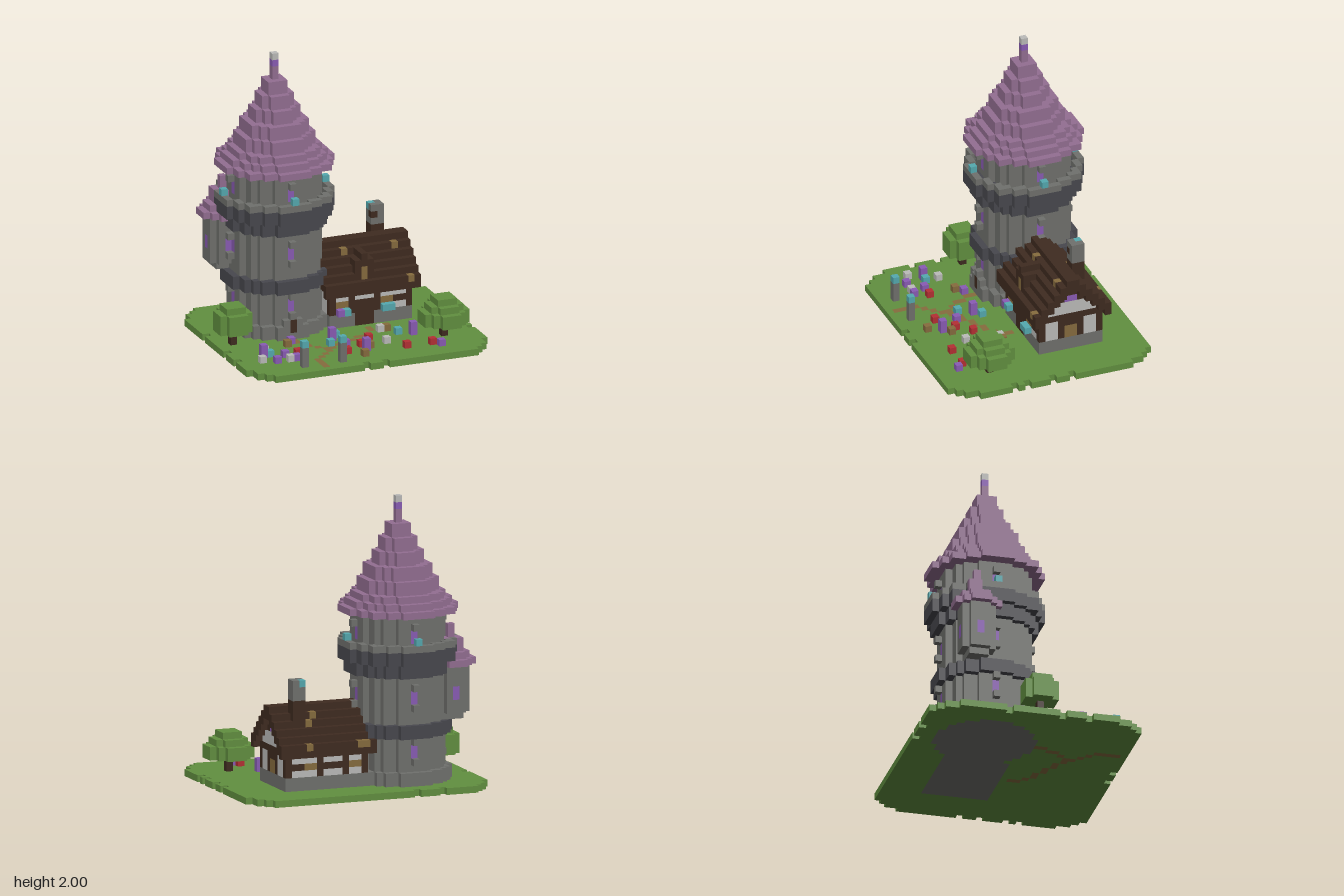
import * as THREE from 'three';

const V = 2 / 43; // edge of one cube

const COLORS = {
  grass: 0x629040, stone: 0x70716d, darkStone: 0x48484e, tile: 0x946f92, wood: 0x3f2b20,
  moss: 0x866c3e, purple: 0x8a5cb5, cyan: 0x55aab0, plaster: 0xbcbcba, red: 0xb53034,
};

export function createModel() {
  const cells = new Map();
  let part = '';
  const put = (color, i, j, k) => cells.set(`${i},${j},${k}`, { p: [i, j, k], id: `${part}|${color}` });
  const box = (color, i0, i1, j0, j1, k0, k1) => {
    for (let i = i0; i <= i1; i++) for (let j = j0; j <= j1; j++) for (let k = k0; k <= k1; k++) put(color, i, j, k);
  };
  // round slab of cubes, optionally hollow
  const disc = (color, ci, ck, r, j0, j1 = j0, inner = -1) => {
    for (let a = -r; a <= r; a++) for (let b = -r; b <= r; b++) {
      const d = a * a + b * b;
      if (d <= (r + 0.5) ** 2 && (inner < 0 || d > (inner + 0.5) ** 2)) box(color, ci + a, ci + a, j0, j1, ck + b, ck + b);
    }
  };

  // Ground with clipped corners and chipped edges
  part = 'ground';
  for (let k = -16; k <= 15; k++) {
    const e = Math.min(k + 16, 15 - k);
    const cut = [3, 2, 1, 1][e] ?? 0;
    box('grass', -19 + cut, 18 - cut, 0, 0, k, k);
  }
  const chips = [[-11, -16], [-7, -16], [-2, 15], [1, 15], [18, -3], [18, 0], [18, 4], [18, 6], [-19, -5], [-19, 3], [-19, 7]];
  chips.forEach(([i, k]) => cells.delete(`${i},0,${k}`));
  part = 'foundation';
  disc('stone', -8, -6, 7, 0);
  box('stone', -1, 11, 0, 0, -10, -1);
  part = 'path';
  [[-8, 11], [-8, 12], [-8, 13], [-8, 14], [-7, 10], [-6, 9], [-5, 8], [-4, 7], [-3, 6], [-2, 6], [-1, 5], [0, 5],
    [1, 4], [2, 4], [3, 3], [4, 2], [4, 1], [-8, 2], [-8, 3], [-7, 4], [-7, 5], [-6, 6], [-5, 7]]
    .forEach(([i, k]) => put('moss', i, 0, k));

  // House walls: stone base, plaster, timber posts
  part = 'houseWalls';
  box('stone', -1, 11, 1, 2, -10, -1);
  box('plaster', -1, 11, 3, 5, -10, -1);
  box('wood', -1, 11, 6, 6, -10, -1);
  for (const k of [-10, -1]) {
    box('wood', -1, 11, 4, 4, k, k);
    for (const i of [-1, 2, 6, 11]) box('wood', i, i, 3, 5, k, k);
    for (const i of [0, 7]) box('moss', i, i + 1, 4, 4, k, k);
  }
  box('wood', 3, 5, 1, 4, -1, -1);
  for (const k of [-7, -4]) box('wood', 11, 11, 3, 4, k, k);
  box('wood', 11, 11, 5, 5, -7, -4);
  box('moss', 11, 11, 3, 4, -6, -5);
  part = 'windowBoxes';
  put('purple', 0, 3, 0);
  put('cyan', 1, 3, 0);
  box('cyan', 7, 8, 3, 3, 0, 0);

  // Stepped gable roof with a filled gable wall set back from the edge
  part = 'houseRoof';
  for (let k = -11; k <= 0; k++) {
    const d = Math.min(-k, k + 11);
    box('wood', -2, 12, 6 + d, 7 + d, k, k);
    for (let j = 7; j < 6 + d; j++) {
      const color = j < 9 ? 'plaster' : j === 9 && (k === -6 || k === -5) ? 'purple' : 'wood';
      box(color, -2, 11, j, j, k, k);
    }
  }
  for (const [i, k] of [[2, -4], [10, -4], [11, 0], [-1, -11], [0, -11], [8, -11], [6, -7], [7, -8]]) {
    put('moss', i, 7 + Math.min(-k, k + 11), k);
  }
  part = 'dormer';
  box('wood', 3, 5, 8, 10, -4, -1);
  box('wood', 4, 4, 11, 11, -4, -1);
  box('moss', 4, 4, 8, 9, -1, -1);
  part = 'chimney';
  box('wood', 8, 9, 11, 13, -8, -7);
  box('stone', 8, 9, 14, 16, -8, -7);
  put('wood', 8, 15, -7);
  put('cyan', 8, 16, -8);

  // Side turret with a small pointed roof
  part = 'turret';
  disc('stone', -15, -9, 1, 10);
  disc('stone', -15, -9, 2, 11, 17);
  [[-15, -7], [-15, -11], [-17, -9]].forEach(([i, k]) => box('purple', i, i, 13, 14, k, k));
  part = 'turretRoof';
  disc('tile', -15, -9, 3, 18);
  disc('tile', -15, -9, 2, 19);
  disc('tile', -15, -9, 1, 20, 21);
  box('tile', -15, -15, 22, 23, -9, -9);

  // Round tower: wall, bands and balcony
  part = 'tower';
  disc('stone', -8, -6, 6, 1, 25);
  disc('stone', -8, -6, 7, 1, 2);
  part = 'towerBands';
  disc('darkStone', -8, -6, 7, 8, 9);
  disc('darkStone', -8, -6, 7, 17, 18);
  disc('darkStone', -8, -6, 8, 19, 20);
  part = 'balconyRail';
  disc('stone', -8, -6, 8, 21, 21, 7);

  // Windows, their sills and the balcony lanterns on four sides
  part = 'towerWindows';
  for (const [a, b] of [[0, 1], [0, -1], [1, 0], [-1, 0]]) {
    const at = (color, r, j) => put(color, -8 + a * r, j, -6 + b * r);
    [5, 6, 13, 14, 22, 23].forEach((j) => at('purple', 6, j));
    [4, 7, 12, 15, 24].forEach((j) => { if (a !== 1 || j > 9) at('stone', 7, j); });
    at('cyan', 8, 22);
  }
  part = 'towerDoor';
  box('stone', -9, -7, 1, 3, 1, 1);
  box('wood', -8, -8, 2, 3, 1, 1);

  // Conical stepped roof and finial
  part = 'towerRoof';
  [[8, 26, 26], [7, 27, 27], [6, 28, 28], [5, 29, 30], [4, 31, 32], [3, 33, 34], [2, 35, 36], [1, 37, 38], [0, 39, 40]]
    .forEach(([r, j0, j1]) => disc('tile', -8, -6, r, j0, j1));
  part = 'finial';
  put('purple', -8, 41, -6);
  put('plaster', -8, 42, -6);

  // Trees
  for (const [name, i, k, r] of [['leftTree', 13, 8, 3], ['rightTree', -17, 0, 2]]) {
    part = name;
    box('wood', i, i, 1, 2, k, k);
    disc('grass', i, k, r, 3, 4);
    disc('grass', i, k, 2, 5);
    disc('grass', i, k, 1, 6);
  }

  // Lamp posts and flowers
  part = 'lampPost';
  for (const i of [-11, -5]) {
    box('stone', i, i, 1, 3, 13, 13);
    put('cyan', i, 4, 13);
  }
  part = 'flowers';
  const flowers = {
    cyan: [[-2, 3], [-4, 6], [7, 5], [-14, 7]],
    purple: [[-9, 3], [-3, 4, 2], [9, 6, 2], [-15, 7, 2], [-2, 7], [-12, 8], [-14, 10], [-11, 10], [0, 10, 2], [11, 12]],
    moss: [[-10, 4], [6, 3], [1, 9], [-1, 12]],
    plaster: [[-14, 5], [5, 3], [4, 8], [-16, 9], [-12, 10]],
    red: [[2, 6], [-10, 8], [0, 8], [-3, 10], [6, 11], [10, 11]],
  };
  for (const [color, list] of Object.entries(flowers)) {
    list.forEach(([i, k, top = 1]) => box(color, i, i, 1, top, k, k));
  }

  // Gather the exposed faces of each part and colour
  const faces = new Map();
  for (const { p, id } of cells.values()) {
    if (!faces.has(id)) faces.set(id, { pos: [], nor: [] });
    const f = faces.get(id);
    for (let a = 0; a < 3; a++) for (const s of [-1, 1]) {
      const n = [0, 0, 0];
      n[a] = s;
      if (cells.has(p.map((c, x) => c + n[x]).join())) continue;
      const quad = [[0, 0], [1, 0], [1, 1], [0, 1]].map(([u, v]) => {
        const c = [...p];
        c[a] += s > 0 ? 1 : 0;
        c[(a + 1) % 3] += u;
        c[(a + 2) % 3] += v;
        return c.map((x) => x * V);
      });
      for (const q of s > 0 ? [0, 1, 2, 0, 2, 3] : [0, 2, 1, 0, 3, 2]) {
        f.pos.push(...quad[q]);
        f.nor.push(...n);
      }
    }
  }

  const materials = {};
  for (const [name, color] of Object.entries(COLORS)) {
    materials[name] = new THREE.MeshStandardMaterial({ color });
    materials[name].name = name;
  }
  const model = new THREE.Group();
  const groups = {};
  for (const [id, f] of faces) {
    const [name, color] = id.split('|');
    if (!groups[name]) {
      groups[name] = new THREE.Group();
      groups[name].name = name;
      model.add(groups[name]);
    }
    const geometry = new THREE.BufferGeometry();
    geometry.setAttribute('position', new THREE.Float32BufferAttribute(f.pos, 3));
    geometry.setAttribute('normal', new THREE.Float32BufferAttribute(f.nor, 3));
    const mesh = new THREE.Mesh(geometry, materials[color]);
    mesh.name = `${name} ${color}`;
    groups[name].add(mesh);
  }
  return model;
}
